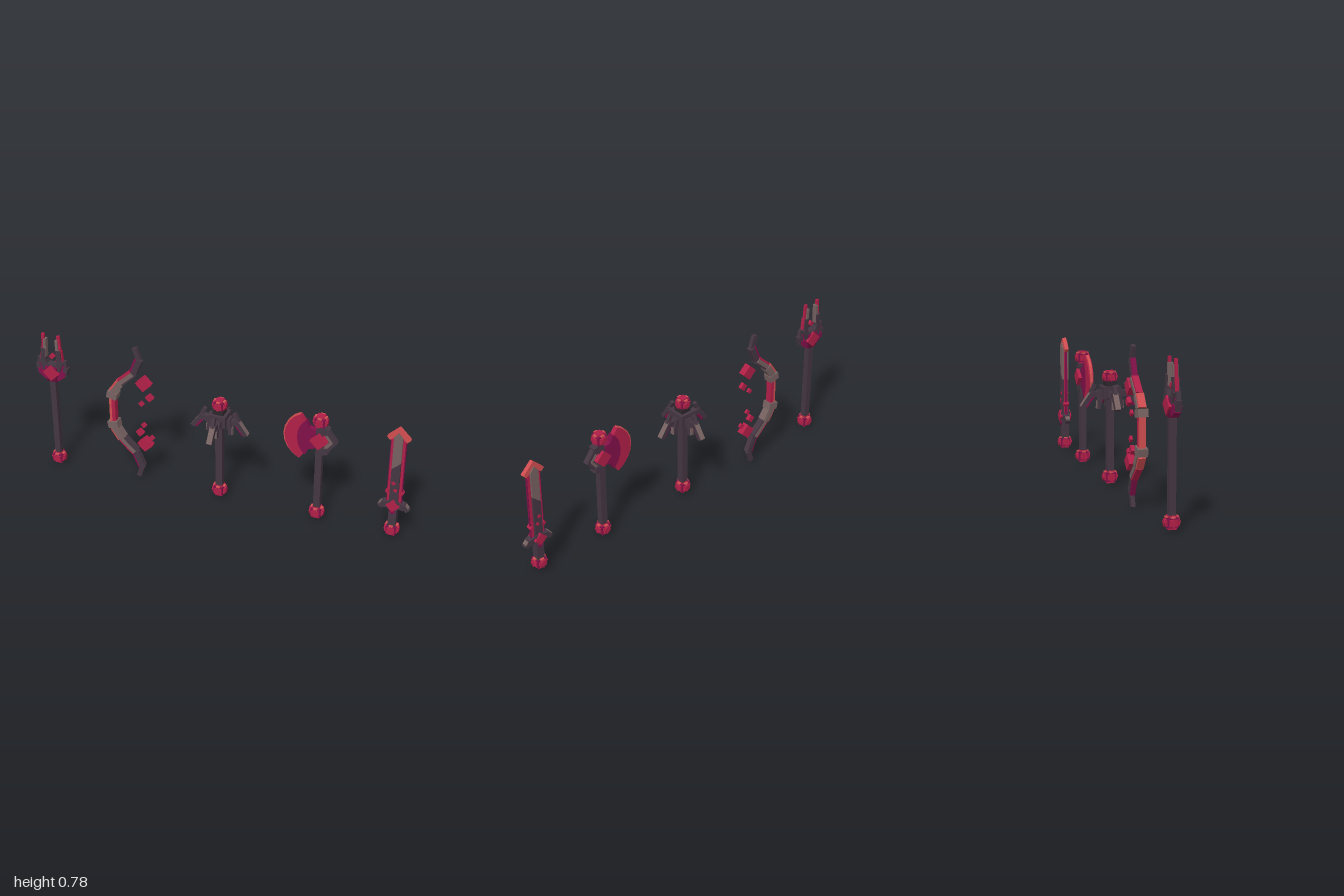
import * as THREE from 'three';

const paint = (name, color) => {
  const m = new THREE.MeshStandardMaterial({ color, flatShading: true });
  m.name = name;
  return m;
};

export function createModel() {
  const plum = paint('dark plum', 0x443641), black = paint('near black', 0x2d262b),
    taupe = paint('taupe', 0x756160), crimson = paint('crimson', 0xb01f47),
    coral = paint('coral red', 0xd04d50), magenta = paint('deep magenta', 0x7f1048),
    wine = paint('wine', 0x5f0e36);

  const root = new THREE.Group();
  root.name = 'weaponSet';
  const group = (name, x, y, z, parent = root) => {
    const g = new THREE.Group();
    g.name = name;
    g.position.set(x, y, z);
    parent.add(g);
    return g;
  };
  const add = (g, name, geo, mat, x = 0, y = 0, z = 0, rz = 0) => {
    const m = new THREE.Mesh(geo, mat);
    m.name = name;
    m.position.set(x, y, z);
    m.rotation.z = rz;
    g.add(m);
    return m;
  };
  const box = (g, name, mat, w, h, d, x = 0, y = 0, z = 0, rz = 0) =>
    add(g, name, new THREE.BoxGeometry(w, h, d), mat, x, y, z, rz);
  // square bar between two points of the xy plane, optionally moved to its right
  const beam = (g, name, mat, [ax, ay], [bx, by], w, d, shift = 0) => {
    const len = Math.hypot(bx - ax, by - ay);
    return box(g, name, mat, w, len, d, (ax + bx) / 2 + shift * (by - ay) / len,
      (ay + by) / 2 - shift * (bx - ax) / len, 0, Math.atan2(ax - bx, by - ay));
  };
  // cube standing on its edge; r is half the diagonal
  const gem = (g, name, mat, r, d, x, y, z = 0) =>
    box(g, name, mat, r * 1.414, r * 1.414, d, x, y, z, Math.PI / 4);
  // flat plate, centred in depth
  const plate = (g, name, mat, pts, d) => {
    const s = new THREE.Shape(pts.map(p => new THREE.Vector2(...p)));
    const geo = new THREE.ExtrudeGeometry(s, { depth: d, bevelEnabled: false });
    geo.translate(0, 0, -d / 2);
    return add(g, name, geo, mat);
  };
  const shaft = (g, name, w, y0, y1) => box(g, name, plum, w, y1 - y0, w, 0, (y0 + y1) / 2);
  // knob made of crossed blocks with a diamond on every side
  const knob = (g, name, y, r = 0.034) => {
    const k = group(name, 0, y, 0, g);
    box(k, 'knobCore', magenta, r * 1.5, r * 1.35, r * 1.5);
    box(k, 'knobPost', crimson, r * 1.15, r * 1.9, r * 1.15);
    for (let i = 0; i < 4; i++) {
      const side = group('knobSide', 0, 0, 0, k);
      side.rotation.y = i * Math.PI / 2;
      box(side, 'knobBlock', crimson, r * 1.1, r * 0.9, r * 0.35, 0, 0, r * 0.8);
      box(side, 'knobStud', coral, r * 0.6, r * 0.2, r * 0.4, 0, r * 0.74, r * 0.72);
      gem(side, 'knobDiamond', crimson, r * 0.62, 0.006, 0, 0, r);
    }
  };

  // ---- Forked staff ----
  const staff = group('staff', -0.91, 0, 0.02);
  shaft(staff, 'staffShaft', 0.032, 0.05, 0.6);
  knob(staff, 'staffPommel', 0.042);
  box(staff, 'staffCollar', plum, 0.1, 0.035, 0.04, 0, 0.598);
  box(staff, 'staffCollarInset', magenta, 0.064, 0.026, 0.048, 0, 0.592);
  box(staff, 'staffSocket', wine, 0.056, 0.06, 0.046, 0, 0.548);
  gem(staff, 'staffGem', crimson, 0.045, 0.062, 0, 0.57);
  gem(staff, 'staffFloatingGem', crimson, 0.016, 0.02, 0, 0.657);
  for (const s of [-1, 1]) {
    beam(staff, 'prongRoot', plum, [s * 0.03, 0.585], [s * 0.052, 0.64], 0.034, 0.036);
    beam(staff, 'prongMiddle', plum, [s * 0.046, 0.62], [s * 0.041, 0.7], 0.026, 0.032);
    beam(staff, 'prongSkin', crimson, [s * 0.059, 0.635], [s * 0.054, 0.7], 0.008, 0.018);
    beam(staff, 'prongEdge', crimson, [s * 0.05, 0.65], [s * 0.042, 0.782], 0.016, 0.012);
    beam(staff, 'prongInside', taupe, [s * 0.036, 0.65], [s * 0.032, 0.755], 0.015, 0.024);
    beam(staff, 'clawArm', magenta, [s * 0.03, 0.572], [s * 0.075, 0.565], 0.03, 0.036);
    beam(staff, 'claw', plum, [s * 0.068, 0.555], [s * 0.079, 0.605], 0.024, 0.028);
    beam(staff, 'clawTip', plum, [s * 0.078, 0.595], [s * 0.071, 0.642], 0.017, 0.02);
    beam(staff, 'clawInner', magenta, [s * 0.056, 0.565], [s * 0.065, 0.612], 0.014, 0.024);
    beam(staff, 'clawLower', magenta, [s * 0.026, 0.53], [s * 0.06, 0.556], 0.024, 0.034);
  }

  // ---- Bow ----
  const bow = group('bow', 0, 0.39, -0.021);
  box(bow, 'bowGrip', crimson, 0.02, 0.17, 0.034, -0.589, 0, 0);
  box(bow, 'bowGripFront', coral, 0.016, 0.17, 0.03, -0.605, 0, 0);
  for (const s of [-1, 1]) {
    const limb = [[-0.598, 0.07], [-0.59, 0.108], [-0.55, 0.168], [-0.478, 0.236], [-0.442, 0.322], [-0.463, 0.387]]
      .map(([x, y]) => [x, y * s]);
    // main bars, with a coloured strip along the outer (left) and inner side
    [[0.056, 0.05, taupe], [0.026, 0.046, taupe, coral, taupe], [0.022, 0.04, taupe, crimson, plum],
      [0.02, 0.032, plum, magenta, plum], [0.026, 0.02, plum]].forEach(([w, d, mat, outer, inner], i) => {
      beam(bow, 'bowLimb', mat, limb[i], limb[i + 1], w, d);
      if (!outer) return;
      beam(bow, 'bowOuterEdge', outer, limb[i], limb[i + 1], 0.012, d * 0.8, -s * (w / 2 + 0.005));
      beam(bow, 'bowInnerEdge', inner, limb[i], limb[i + 1], 0.01, d * 0.9, s * (w / 2 + 0.004));
    });
  }
  [[-0.42, 0.188, 0.042], [-0.39, 0.11, 0.023], [-0.437, 0.063, 0.016], [-0.427, -0.064, 0.016],
    [-0.449, -0.112, 0.023], [-0.385, -0.133, 0.016], [-0.42, -0.176, 0.042]]
    .forEach(([x, y, r]) => gem(bow, 'bowFloatingGem', crimson, r, r * 0.85, x, y));

  // ---- Winged mace ----
  const mace = group('mace', 0, 0, 0);
  shaft(mace, 'maceShaft', 0.036, 0.05, 0.46);
  knob(mace, 'macePommel', 0.05);
  box(mace, 'maceCore', plum, 0.09, 0.06, 0.09, 0, 0.485);
  box(mace, 'maceCoreTop', black, 0.056, 0.04, 0.056, 0, 0.52);
  knob(mace, 'maceTopGem', 0.56, 0.033);
  for (let i = 0; i < 4; i++) {
    const wing = group('maceWing', 0, 0, 0, mace);
    wing.rotation.y = i * Math.PI / 2;
    beam(wing, 'wingArm', plum, [0.025, 0.468], [0.066, 0.48], 0.036, 0.05);
    beam(wing, 'wingShoulder', plum, [0.055, 0.473], [0.104, 0.478], 0.028, 0.032);
    beam(wing, 'wingBlade', plum, [0.09, 0.488], [0.143, 0.413], 0.022, 0.03);
    beam(wing, 'wingBladeFace', taupe, [0.101, 0.488], [0.151, 0.417], 0.005, 0.028);
    beam(wing, 'wingInnerEdge', magenta, [0.08, 0.473], [0.125, 0.412], 0.011, 0.02);
    beam(wing, 'wingHorn', plum, [0.1, 0.48], [0.078, 0.527], 0.019, 0.018);
    beam(wing, 'wingLegRoot', plum, [0.04, 0.465], [0.057, 0.432], 0.022, 0.026);
    beam(wing, 'wingLeg', plum, [0.056, 0.44], [0.058, 0.4], 0.019, 0.022);
    beam(wing, 'wingLegFace', taupe, [0.067, 0.44], [0.068, 0.402], 0.005, 0.02);
  }

  // ---- Axe ----
  const axe = group('axe', 0.524, 0, 0);
  shaft(axe, 'axeShaft', 0.034, 0.05, 0.58);
  knob(axe, 'axePommel', 0.05);
  knob(axe, 'axeCap', 0.587);
  const head = group('axeHead', 0, 0.482, 0, axe);
  // curved bands of the blade, from the sharp edge inwards
  const arc = (cx, rx, ry, steps = 8) => Array.from({ length: steps + 1 }, (_, i) => {
    const a = -1.15 + 2.3 * i / steps;
    return [cx - rx * Math.cos(a), ry * Math.sin(a)];
  });
  const crescent = (name, mat, out, inn, d) => plate(head, name, mat, [...arc(...out), ...arc(...inn).reverse()], d);
  crescent('axeSharpEdge', coral, [-0.045, 0.142, 0.143], [-0.045, 0.128, 0.132], 0.014);
  crescent('axeEdge', crimson, [-0.045, 0.134, 0.138], [-0.04, 0.072, 0.092], 0.026);
  plate(head, 'axeBlade', magenta, [...arc(-0.04, 0.074, 0.108), [-0.055, 0.062], [0, 0.045], [0, -0.045], [-0.055, -0.062]], 0.03);
  gem(head, 'axeGem', crimson, 0.045, 0.066, 0, 0);
  for (const s of [-1, 1]) {
    beam(head, 'axeBackArm', plum, [-0.005, s * 0.07], [0.042, s * 0.052], 0.036, 0.04);
    beam(head, 'axeBackSpike', plum, [0.022, s * 0.07], [0.08, -s * 0.006], 0.024, 0.03);
    beam(head, 'axeBackTrim', taupe, [0.02, s * 0.054], [0.064, -s * 0.002], 0.012, 0.036);
  }

  // ---- Sword ----
  const sword = group('sword', 0.914, 0, 0);
  shaft(sword, 'swordGrip', 0.04, 0.05, 0.2);
  knob(sword, 'swordPommel', 0.05);
  plate(sword, 'bladeLower', plum, [[-0.022, 0.2], [0.022, 0.2], [0.022, 0.45], [-0.022, 0.41]], 0.038);
  plate(sword, 'bladeUpper', taupe, [[-0.022, 0.41], [0.022, 0.45], [0.022, 0.59], [0, 0.618], [-0.022, 0.59]], 0.036);
  for (const s of [-1, 1]) {
    box(sword, 'bladeEdge', magenta, 0.006, 0.36, 0.011, s * 0.036, 0.392);
    box(sword, 'bladeInnerEdge', crimson, 0.014, 0.36, 0.016, s * 0.028, 0.395);
    beam(sword, 'bladeTip', coral, [s * 0.05, 0.577], [-s * 0.008, 0.635], 0.024, 0.022);
    beam(sword, 'guardArm', plum, [s * 0.015, 0.2], [s * 0.055, 0.192], 0.034, 0.036);
    beam(sword, 'guardTip', plum, [s * 0.046, 0.203], [s * 0.073, 0.173], 0.024, 0.026);
    beam(sword, 'guardTipFace', taupe, [s * 0.052, 0.197], [s * 0.066, 0.181], 0.005, 0.026, -s * 0.012);
    gem(sword, 'bladeShard', crimson, 0.012, 0.044, s * 0.006, 0.31 - 0.02 * s);
    gem(sword, 'edgeShard', crimson, 0.013, 0.03, s * 0.034, 0.272);
  }
  box(sword, 'guardBlock', plum, 0.05, 0.05, 0.05, 0, 0.2);
  gem(sword, 'guardGem', crimson, 0.034, 0.062, 0, 0.2);
  gem(sword, 'guardLowerGem', magenta, 0.016, 0.05, 0, 0.163);

  return root;
}
